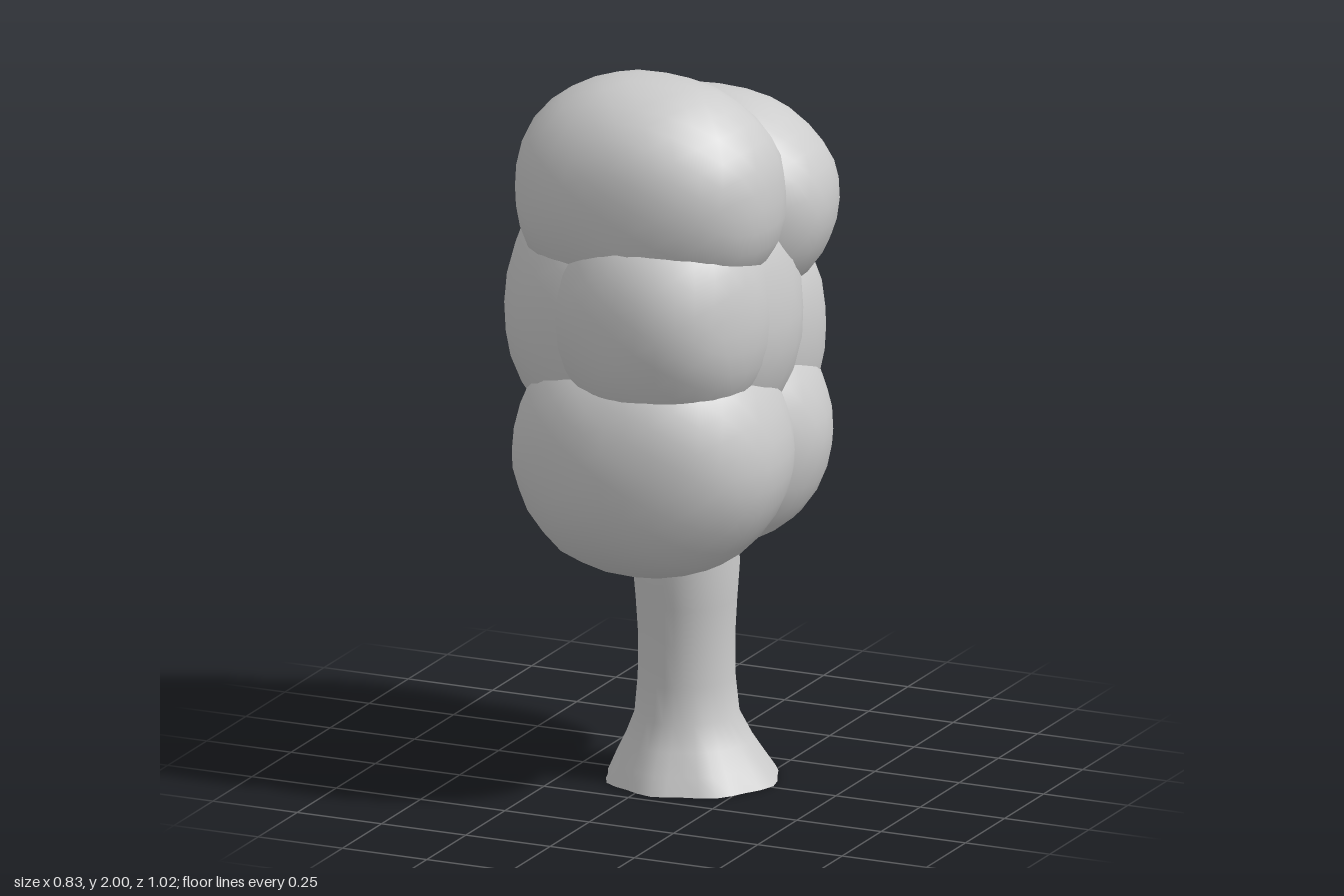
import * as THREE from 'three';
import { mergeVertices } from 'three/addons/utils/BufferGeometryUtils.js';

const leafMaterial = new THREE.MeshStandardMaterial({ color: 0xcccccc });
const barkMaterial = new THREE.MeshStandardMaterial({ color: 0xcccccc, side: THREE.DoubleSide });

// Weld the seams, then smooth the normals
function smooth(geo) {
  geo.deleteAttribute('uv');
  geo.deleteAttribute('normal');
  const welded = mergeVertices(geo, 1e-4);
  welded.computeVertexNormals();
  return welded;
}

// Rounded, slightly uneven clump of leaves
function foliageGeometry([rx, ry, rz], seed) {
  const geo = new THREE.IcosahedronGeometry(1, 5);
  const pos = geo.attributes.position;
  const v = new THREE.Vector3();
  const power = 2.15;
  for (let i = 0; i < pos.count; i++) {
    v.fromBufferAttribute(pos, i).normalize();
    const sum = Math.abs(v.x) ** power + Math.abs(v.y) ** power + Math.abs(v.z) ** power;
    const bump = 1
      + 0.01 * Math.sin(7 * v.x + seed * 1.7) * Math.sin(6 * v.y + seed * 2.3)
      + 0.008 * Math.sin(8 * v.z + 5 * v.x + seed);
    v.multiplyScalar(bump * sum ** (-1 / power));
    pos.setXYZ(i, v.x * rx, v.y * ry, v.z * rz);
  }
  return smooth(geo);
}

// Hollow trunk, open below, with an uneven flare that spreads into root lobes
function trunkGeometry() {
  const profile = [
    [0.235, 0], [0.208, 0.05], [0.174, 0.11], [0.142, 0.18], [0.132, 0.28],
    [0.131, 0.4], [0.137, 0.5], [0.145, 0.6], [0.14, 0.75],
  ].map(([r, y]) => new THREE.Vector2(r, y));
  const geo = new THREE.LatheGeometry(profile, 32);
  const pos = geo.attributes.position;
  for (let i = 0; i < pos.count; i++) {
    const x = pos.getX(i), y = pos.getY(i), z = pos.getZ(i);
    const angle = Math.atan2(z, x);
    const flare = Math.max(0, 1 - y / 0.2);
    const lobes = 0.03 * Math.cos(8 * angle) + 0.08 * Math.cos(angle + Math.PI / 4);
    const k = 1 + flare * lobes + 0.02 * Math.cos(3 * angle + 4 * y);
    pos.setXYZ(i, x * k, y, z * k);
  }
  return smooth(geo);
}

export function createModel() {
  const tree = new THREE.Group();
  tree.name = 'tree';

  const trunk = new THREE.Mesh(trunkGeometry(), barkMaterial);
  trunk.name = 'trunk';
  trunk.position.set(0.05, 0, -0.01);
  tree.add(trunk);

  // Leaf clumps: name, centre, radii
  const clumps = [
    ['lowerFrontFoliage', [0.035, 0.97, 0.167], [0.378, 0.355, 0.342]],
    ['lowerBackFoliage', [0.03, 0.945, -0.14], [0.365, 0.33, 0.305]],
    ['middleFrontFoliage', [0.075, 1.36, 0.2], [0.3, 0.33, 0.295]],
    ['middleSideFoliage', [-0.015, 1.33, 0.05], [0.4, 0.43, 0.38]],
    ['middleBackFoliage', [0.015, 1.21, -0.215], [0.325, 0.365, 0.295]],
    ['upperFrontFoliage', [0.015, 1.68, 0.145], [0.375, 0.32, 0.298]],
    ['upperBackFoliage', [0.035, 1.595, -0.15], [0.375, 0.298, 0.292]],
  ];
  const foliage = new THREE.Group();
  foliage.name = 'foliage';
  clumps.forEach(([name, centre, radii], i) => {
    const clump = new THREE.Mesh(foliageGeometry(radii, i + 1), leafMaterial);
    clump.name = name;
    clump.position.set(...centre);
    foliage.add(clump);
  });
  tree.add(foliage);
  return tree;
}
